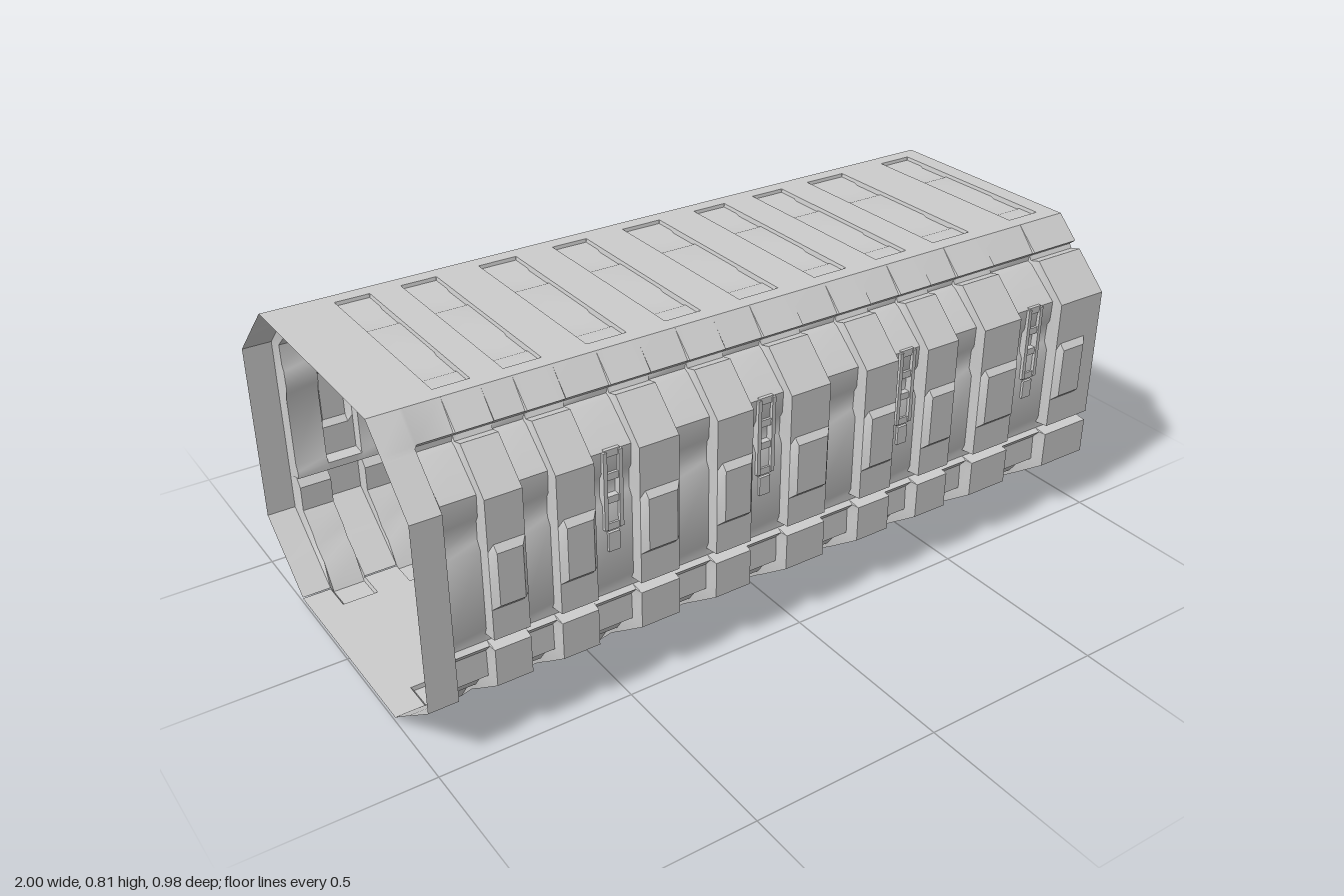
import * as THREE from 'three';
import { toCreasedNormals } from 'three/addons/utils/BufferGeometryUtils.js';

const material = new THREE.MeshStandardMaterial({ color: 0xcccccc, side: THREE.DoubleSide });

// x ranges of the recessed bays; ribs lie between them
const bays = [[-0.92, -0.83], [-0.74, -0.66], [-0.565, -0.45], [-0.345, -0.24], [-0.14, -0.03],
  [0.085, 0.195], [0.295, 0.39], [0.49, 0.58], [0.705, 0.85]];

// Wall profiles as [z, y] from roof edge to floor edge
const rib = [[0.3, 0.81], [0.362, 0.752], [0.345, 0.738], [0.352, 0.727], [0.38, 0.735],
  [0.475, 0.645], [0.475, 0.53], [0.49, 0.515], [0.49, 0.38], [0.475, 0.365], [0.475, 0.285],
  [0.437, 0.282], [0.437, 0.262], [0.475, 0.258], [0.475, 0.235], [0.475, 0.16],
  [0.38, 0.089], [0.36, 0.075], [0.33, 0.052], [0.28, 0.015]];
const bay = [[0.3, 0.81], [0.358, 0.75], [0.345, 0.738], [0.345, 0.725], [0.36, 0.718],
  [0.446, 0.645], [0.444, 0.59], [0.436, 0.575], [0.434, 0.525], [0.445, 0.505], [0.445, 0.3],
  [0.437, 0.282], [0.437, 0.262], [0.455, 0.258], [0.435, 0.235], [0.437, 0.165],
  [0.385, 0.12], [0.365, 0.092], [0.325, 0.065], [0.28, 0]];
const ribEdge = rib.map(([z, y]) => [Math.min(z, 0.475), y]);
const plain = ribEdge.map(([z, y], i) => {
  if (i === 2) return [0.367, 0.747];
  if (i === 3) return [0.374, 0.741];
  return [i > 4 && i < 16 ? 0.475 : z, y];
});
const wall = { rib, bay, ribEdge, plain };

// Roof: each rib carries a shallow tray
const roofFlat = [0.3, 0.26, 0.258, 0.2, 0.19, 0.1, 0.09, -0.09, -0.1, -0.19, -0.2, -0.258, -0.26, -0.3]
  .map(z => [z, 0.81]);
const roofTray = roofFlat.map(([z]) => {
  const a = Math.abs(z);
  return [z, a > 0.259 ? 0.81 : a > 0.095 && a < 0.195 ? 0.797 : 0.801];
});
const roof = { rib: roofTray, bay: roofFlat, ribEdge: roofFlat, plain: roofFlat };

// Floor: the bays end in shallow strips along both edges
const floorFlat = [0.28, 0.2, 0.199, -0.199, -0.2, -0.28].map(z => [z, 0.012]);
const floorBay = floorFlat.map(([z, y]) => [z, Math.abs(z) > 0.1995 ? 0 : y]);
const floor = { rib: floorFlat, bay: floorBay, ribEdge: floorFlat, plain: floorFlat };

// Order of cross-sections along x; taper is the slope length at a rib's ends
function stations(taper) {
  const list = [[-1, 'plain'], [-0.925, 'plain']];
  bays.forEach(([a, b], i) => {
    const end = i + 1 < bays.length ? bays[i + 1][0] : 0.95;
    list.push([a + 0.003, 'bay'], [b - 0.003, 'bay'], [b, 'ribEdge'],
      [b + taper, 'rib'], [end - taper, 'rib'], [end, 'ribEdge']);
  });
  list.push([1, 'ribEdge']);
  return list;
}

// Sheet lofted through the cross-sections
function loft(name, profiles, taper, side = 1) {
  const sections = stations(taper);
  const n = profiles.rib.length;
  const pos = [], index = [];
  sections.forEach(([x, kind], s) => {
    for (const [z, y] of profiles[kind]) pos.push(x, y, z * side);
    if (s === 0) return;
    for (let i = 0; i < n - 1; i++) {
      const a = (s - 1) * n + i, b = a + n;
      if (side > 0) index.push(a, a + 1, b, b, a + 1, b + 1);
      else index.push(a, b, a + 1, b, b + 1, a + 1);
    }
  });
  const geo = new THREE.BufferGeometry();
  geo.setAttribute('position', new THREE.Float32BufferAttribute(pos, 3));
  geo.setIndex(index);
  const mesh = new THREE.Mesh(toCreasedNormals(geo, 0.6), material);
  mesh.name = name;
  return mesh;
}

// Ladder-like vent set into a bay
function vent(x, side) {
  const g = new THREE.Group();
  g.name = 'vent';
  const box = (w, h, d, dx, y, z) => {
    const m = new THREE.Mesh(new THREE.BoxGeometry(w, h, d), material);
    m.position.set(x + dx, y, z * side);
    g.add(m);
  };
  for (const s of [-1, 1]) box(0.01, 0.2, 0.024, s * 0.02, 0.545, 0.442);
  for (const y of [0.64, 0.58, 0.52, 0.45]) box(0.04, 0.018, 0.02, 0, y, 0.44);
  box(0.03, 0.05, 0.02, 0, 0.41, 0.442);
  return g;
}

export function createModel() {
  const group = new THREE.Group();
  group.name = 'corridor';
  group.add(loft('roof', roof, 0.002), loft('floor', floor, 0.002));
  for (const side of [1, -1]) {
    group.add(loft(side > 0 ? 'frontWall' : 'backWall', wall, 0.014, side));
    for (const x of [-0.505, -0.085, 0.345, 0.78]) group.add(vent(x, side));
  }
  return group;
}
